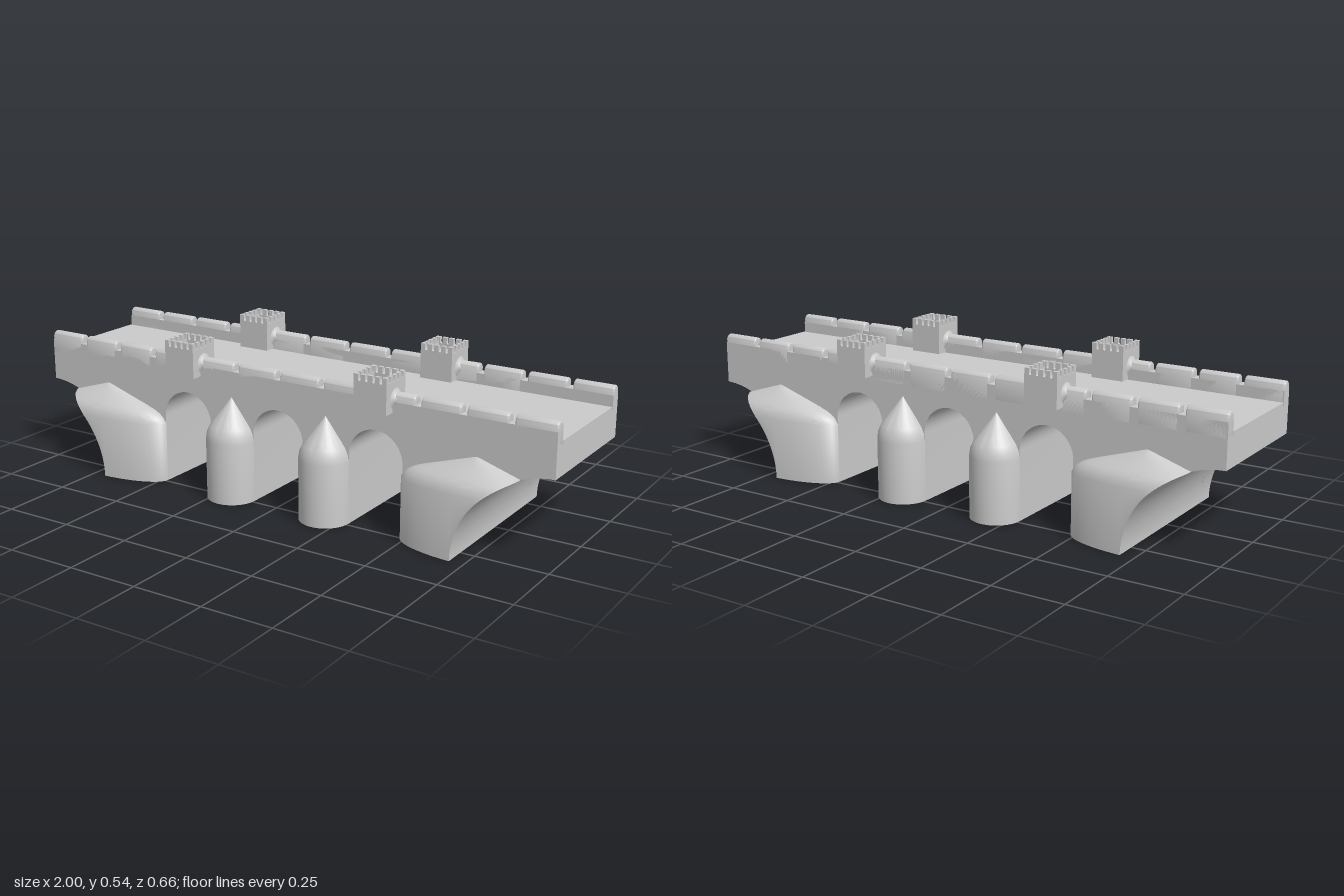
import * as THREE from 'three';
import { toCreasedNormals } from 'three/addons/utils/BufferGeometryUtils.js';

const material = new THREE.MeshStandardMaterial({ color: 0xcccccc });
const WALL_Z = 0.22, SIDE_Z = 0.24;

function add(parent, name, geometry, x = 0, y = 0, z = 0) {
  const mesh = new THREE.Mesh(geometry, material);
  mesh.name = name;
  mesh.position.set(x, y, z);
  parent.add(mesh);
  return mesh;
}

// Span with three round arches and a quarter arch under each end
function spanGeometry() {
  const s = new THREE.Shape();
  s.moveTo(-1, 0.4);
  s.lineTo(-1, 0.3);
  s.absarc(-1, 0, 0.3, Math.PI / 2, 0, true);
  for (const c of [-0.38, 0, 0.38]) {
    s.lineTo(c - 0.1, 0);
    s.lineTo(c - 0.1, 0.245);
    s.absarc(c, 0.245, 0.1, Math.PI, 0, true);
    s.lineTo(c + 0.1, 0);
  }
  s.lineTo(0.7, 0);
  s.absarc(1, 0, 0.3, Math.PI, Math.PI / 2, true);
  s.lineTo(1, 0.4);
  const g = new THREE.ExtrudeGeometry(s, { depth: 2 * SIDE_Z, bevelEnabled: false, curveSegments: 28 });
  return toCreasedNormals(g.translate(0, 0, -SIDE_Z), 0.5);
}

// Half-round pier nose with a pointed cap
function pierNoseGeometry() {
  const profile = [[0, 0], [0.09, 0], [0.09, 0.215], [0.086, 0.24], [0.076, 0.262], [0.06, 0.283], [0, 0.36]]
    .map(([r, y]) => new THREE.Vector2(r, y));
  return toCreasedNormals(new THREE.LatheGeometry(profile, 24, -Math.PI / 2, Math.PI), 0.6);
}

function interpolate(xs, ys, v) {
  for (let i = 1; i < xs.length; i++) {
    if (v <= xs[i]) return ys[i - 1] + (ys[i] - ys[i - 1]) * (v - xs[i - 1]) / (xs[i] - xs[i - 1]);
  }
  return ys[ys.length - 1];
}

// Elliptical abutment nose, conical on top and cut away by the end arch
function abutmentNoseGeometry(sx, sz) {
  const rhos = [0, 0.67, 0.85, 0.95, 1], heights = [0.325, 0.27, 0.253, 0.235, 0.215];
  const rhosBack = [...rhos].reverse(), heightsBack = [...heights].reverse();
  const slices = [];
  for (let i = 0; i <= 14; i++) slices.push([0.74 - 0.26 * Math.cos(1.416 * i / 14), 0]);
  for (let i = 0; i <= 22; i++) {
    const a = 1.184 * i / 22;
    slices.push([1 - 0.3 * Math.cos(a), 0.3 * Math.sin(a)]);
  }
  const n = 12, row = n + 3, pos = [], index = [];
  slices.forEach(([x, floor], i) => {
    const u = Math.min(1, Math.abs(x - 0.74) / 0.26);
    const rhoMax = Math.max(u, interpolate(heightsBack, rhosBack, Math.max(floor, 0.215)));
    const reach = Math.sqrt(rhoMax * rhoMax - u * u);
    const put = (y, d) => pos.push(sx * x, y, sz * (SIDE_Z + 0.09 * d));
    for (let k = 0; k <= n; k++) {
      const d = reach * Math.sin(k / n * Math.PI / 2);
      put(Math.max(floor, interpolate(rhos, heights, Math.hypot(u, d))), d);
    }
    put(floor, reach);
    put(floor, 0);
    if (i === 0) return;
    for (let j = 0; j < row - 1; j++) {
      const b = i * row + j, a = b - row, c = b + 1, d = a + 1;
      if (sx * sz > 0) index.push(a, d, b, d, c, b);
      else index.push(a, b, d, d, b, c);
    }
  });
  const g = new THREE.BufferGeometry();
  g.setAttribute('position', new THREE.Float32BufferAttribute(pos, 3));
  g.setIndex(index);
  return toCreasedNormals(g, 0.6);
}

// Round-topped length of parapet running along x
function copingGeometry(length) {
  const s = new THREE.Shape();
  s.moveTo(-0.02, 0.4);
  s.lineTo(0.02, 0.4);
  s.lineTo(0.02, 0.46);
  s.absarc(0, 0.46, 0.02, 0, Math.PI, false);
  s.lineTo(-0.02, 0.4);
  const b = 0.005;
  const g = new THREE.ExtrudeGeometry(s, {
    depth: length - 2 * b, bevelThickness: b, bevelSize: b, bevelOffset: -b, bevelSegments: 3, curveSegments: 12,
  });
  return toCreasedNormals(g.translate(0, 0, b - length / 2).rotateY(Math.PI / 2), 0.6);
}

// Battlement wall with four narrow round-bottomed slots
function battlementGeometry() {
  const s = new THREE.Shape(), slot = 0.009, merlon = (0.12 - 4 * slot) / 5;
  s.moveTo(-0.06, 0.495);
  s.lineTo(0.06, 0.495);
  s.lineTo(0.06, 0.535);
  for (let i = 3; i >= 0; i--) {
    const c = -0.06 + (i + 1) * merlon + (i + 0.5) * slot;
    s.lineTo(c + slot / 2, 0.535);
    s.lineTo(c + slot / 2, 0.517);
    s.absarc(c, 0.517, slot / 2, 0, -Math.PI, true);
    s.lineTo(c - slot / 2, 0.535);
  }
  s.lineTo(-0.06, 0.535);
  const g = new THREE.ExtrudeGeometry(s, { depth: 0.012, bevelEnabled: false, curveSegments: 6 });
  return toCreasedNormals(g.translate(0, 0, 0.048), 0.6);
}

function createTurret() {
  const turret = new THREE.Group();
  turret.name = 'turret';
  add(turret, 'turretBlock', new THREE.BoxGeometry(0.12, 0.082, 0.12), 0, 0.454, 0);
  const wall = battlementGeometry();
  for (let i = 0; i < 4; i++) add(turret, 'battlement', wall).rotation.y = i * Math.PI / 2;
  // Collars where the parapet meets the turret
  const collar = new THREE.LatheGeometry(
    [[0.036, 0], [0.028, 0.004], [0.023, 0.01], [0.019, 0.02]].map(([r, y]) => new THREE.Vector2(r, y)), 24);
  for (const s of [-1, 1]) add(turret, 'parapetCollar', collar, s * 0.06, 0.455, 0).rotation.z = -s * Math.PI / 2;
  return turret;
}

export function createModel() {
  const model = new THREE.Group();
  model.name = 'stoneBridge';
  add(model, 'span', spanGeometry());
  add(model, 'roadway', new THREE.BoxGeometry(2, 0.018, 0.39), 0, 0.404, 0);

  const nose = pierNoseGeometry();
  const breaks = [-0.85, -0.69, -0.53, -0.17, 0, 0.17, 0.53, 0.69, 0.85];
  const gap = 0.022;
  for (const sz of [-1, 1]) {
    // Parapet: low continuous wall under separate coping lengths
    const parapet = new THREE.Group();
    parapet.name = 'parapet';
    parapet.position.z = sz * WALL_Z;
    model.add(parapet);
    add(parapet, 'parapetBase', new THREE.BoxGeometry(2, 0.055, 0.04), 0, 0.4225, 0);
    const ends = [-1 - gap / 2, ...breaks, 1 + gap / 2];
    for (let i = 1; i < ends.length; i++) {
      add(parapet, 'coping', copingGeometry(ends[i] - ends[i - 1] - gap), (ends[i] + ends[i - 1]) / 2);
    }
    for (const sx of [-1, 1]) {
      const pier = add(model, 'pierNose', nose, sx * 0.19, 0, sz * SIDE_Z);
      if (sz < 0) pier.rotation.y = Math.PI;
      add(model, 'abutmentNose', abutmentNoseGeometry(sx, sz));
      const turret = createTurret();
      turret.position.set(sx * 0.38, 0, sz * WALL_Z);
      model.add(turret);
    }
  }
  return model;
}
